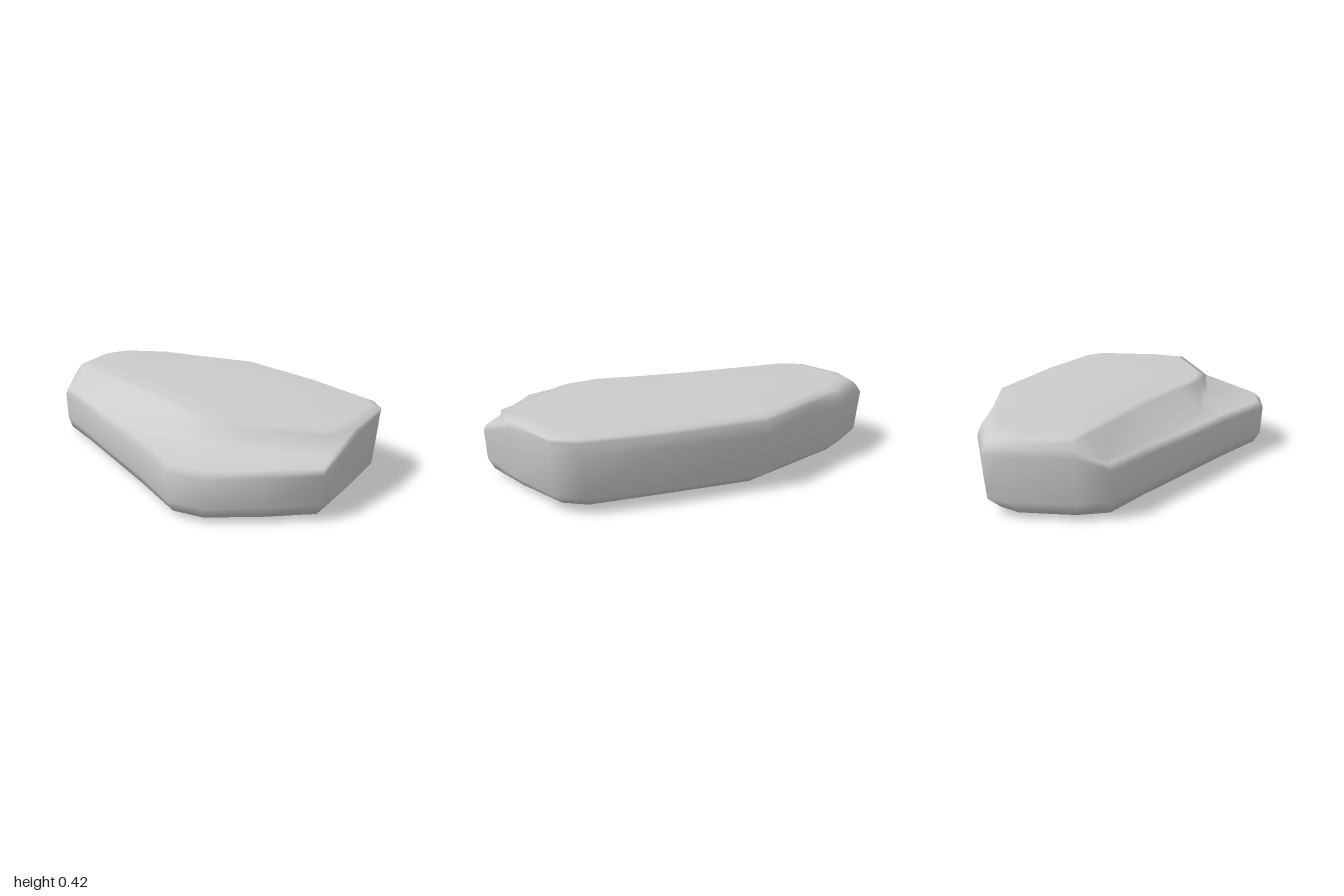
import * as THREE from 'three';

// One row per column round the rock, from its right side past the front:
// base x,z | widest x,z | plateau edge x,z | share of the shelf width that stays low (0 = plain wall)
const COLUMNS = [
  [-0.97, -0.22, -1.00, -0.22, -0.95, -0.24, 0],
  [-0.93, -0.06, -0.96, -0.05, -0.89, -0.17, 0.35],
  [-0.70, 0.08, -0.73, 0.10, -0.63, -0.05, 0.35],
  [-0.40, 0.28, -0.43, 0.31, -0.28, 0.11, 0.4],
  [-0.07, 0.50, -0.09, 0.53, 0.02, 0.27, 0.55],
  [0.24, 0.72, 0.22, 0.765, 0.22, 0.39, 0.92],
  [0.41, 0.72, 0.43, 0.765, 0.40, 0.43, 0.97],
  [0.66, 0.58, 0.68, 0.61, 0.66, 0.36, 0.95],
  [0.89, 0.42, 0.925, 0.45, 0.91, 0.29, 0.9],
  [0.91, 0.12, 0.975, 0.13, 0.97, 0.12, 0],
  [0.90, -0.20, 0.99, -0.22, 0.995, -0.24, 0],
  [0.82, -0.31, 0.91, -0.36, 0.92, -0.345, 0],
  [0.48, -0.46, 0.54, -0.55, 0.52, -0.55, 0],
  [0.02, -0.66, 0.01, -0.77, 0.00, -0.75, 0],
  [-0.40, -0.66, -0.40, -0.74, -0.40, -0.72, 0],
  [-0.66, -0.66, -0.66, -0.75, -0.64, -0.71, 0],
  [-0.88, -0.60, -0.95, -0.67, -0.88, -0.62, 0],
  [-0.95, -0.50, -0.99, -0.55, -0.95, -0.50, 0],
];

const lerp = THREE.MathUtils.lerp;
const mix = (a, b, t) => [lerp(a[0], b[0], t), lerp(a[1], b[1], t)];

// Profile of one column, from the underside up to the plateau
function columnProfile([bx, bz, ox, oz, tx, tz, shelf]) {
  const base = [bx, bz], outer = [ox, oz], top = [tx, tz], middle = [0.05, -0.2];
  const low = shelf > 0;
  const at = ([x, z], y) => [x, y, z];
  return [
    at(mix(base, [-0.2, -0.3], 0.5), 0.015),
    at(base, 0.03),
    at(mix(base, outer, 0.75), 0.09),
    at(outer, low ? 0.25 : 0.32),
    at(mix(outer, top, low ? 0.1 : 0.3), low ? 0.283 : 0.36),
    at(mix(outer, top, low ? shelf : 0.6), low ? 0.295 : 0.385),
    at(top, 0.402),
    at(mix(top, middle, 0.07), 0.418),
    at(mix(top, middle, 0.5), 0.419),
  ];
}

function rockGeometry() {
  const profiles = COLUMNS.map(columnProfile);
  const n = profiles.length, rings = profiles[0].length;
  const positions = [], index = [];
  for (let j = 0; j < rings; j++) for (const p of profiles) positions.push(...p[j]);

  // Skin between neighbouring rings
  for (let j = 0; j < rings - 1; j++) {
    for (let i = 0; i < n; i++) {
      const k = (i + 1) % n;
      const a = j * n + i, b = j * n + k, c = b + n, d = a + n;
      index.push(a, b, c, a, c, d);
    }
  }

  // Underside and plateau caps
  const under = rings * n, over = under + 1;
  positions.push(-0.3, 0, -0.45, 0.05, 0.419, -0.2);
  const last = (rings - 1) * n;
  for (let i = 0; i < n; i++) {
    const k = (i + 1) % n;
    index.push(under, k, i, last + i, last + k, over);
  }

  const geometry = new THREE.BufferGeometry();
  geometry.setAttribute('position', new THREE.Float32BufferAttribute(positions, 3));
  geometry.setIndex(index);
  geometry.computeVertexNormals();
  return geometry;
}

export function createModel() {
  const group = new THREE.Group();
  group.name = 'flatRock';
  const rock = new THREE.Mesh(rockGeometry(), new THREE.MeshStandardMaterial({ color: 0xcccccc }));
  rock.name = 'steppedStone';
  group.add(rock);
  return group;
}
